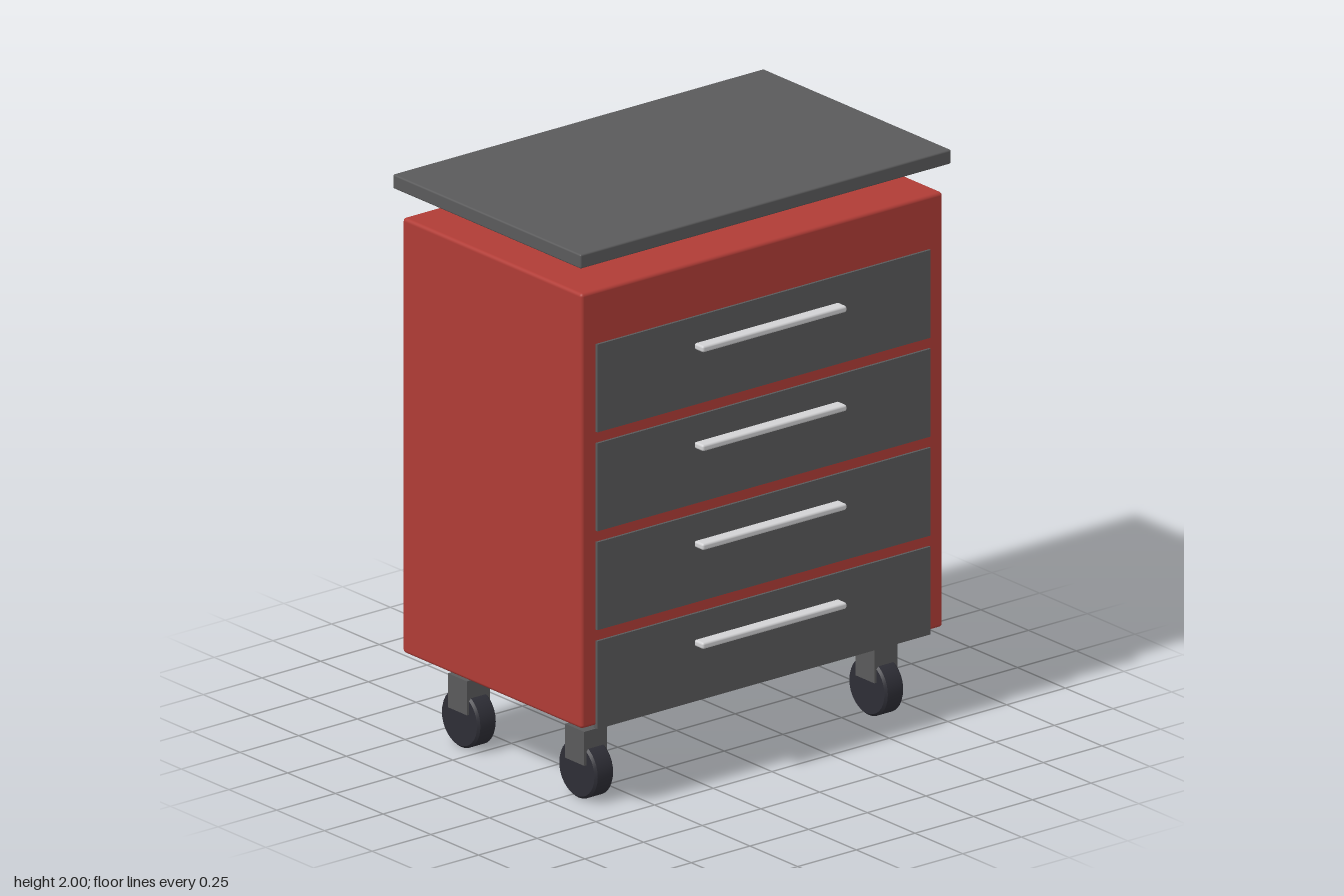
import * as THREE from 'three';
import { RoundedBoxGeometry } from 'three/addons/geometries/RoundedBoxGeometry.js';
import { toCreasedNormals } from 'three/addons/utils/BufferGeometryUtils.js';

function makeMaterial(name, color) {
  const material = new THREE.MeshStandardMaterial({ color });
  material.name = name;
  return material;
}

export function createModel() {
  const model = new THREE.Group();
  model.name = 'toolCabinet';
  const red = makeMaterial('red', 0xb03c36);
  const grey = makeMaterial('grey', 0x5a5a5b);
  const silver = makeMaterial('silver', 0xd2d2d4);
  const rubber = makeMaterial('rubber', 0x2e2e36);

  function add(parent, name, geometry, material, x, y, z) {
    const mesh = new THREE.Mesh(geometry, material);
    mesh.name = name;
    mesh.position.set(x, y, z);
    parent.add(mesh);
    return mesh;
  }

  // Cabinet body and the worktop floating above it
  add(model, 'body', new RoundedBoxGeometry(1.54, 1.535, 0.94, 3, 0.012), red, 0, 1.0825, -0.02);
  add(model, 'worktop', new RoundedBoxGeometry(1.58, 0.05, 0.985, 3, 0.006), grey, 0, 1.975, -0.0235);

  // Four drawers, each with a bar handle
  const panel = new THREE.BoxGeometry(1.42, 0.31, 0.02);
  const handle = new RoundedBoxGeometry(0.615, 0.023, 0.048, 3, 0.008);
  for (let i = 0; i < 4; i++) {
    const drawer = new THREE.Group();
    drawer.name = 'drawer' + (i + 1);
    drawer.position.y = 0.46 + i * 0.349;
    add(drawer, 'drawerFront', panel, grey, 0, 0, 0.449);
    add(drawer, 'handle', handle, silver, 0, 0.058, 0.493);
    model.add(drawer);
  }

  // Casters: a fork block around a wheel with softened rims
  const fork = new THREE.BoxGeometry(0.098, 0.12, 0.1);
  const profile = [[0, -0.04], [0.092, -0.04], [0.1, -0.032], [0.1, 0.032], [0.092, 0.04], [0, 0.04]]
    .map(([r, h]) => new THREE.Vector2(r, h));
  const wheel = toCreasedNormals(new THREE.LatheGeometry(profile, 32), 0.6);
  wheel.rotateZ(Math.PI / 2);
  for (const x of [-0.618, 0.618]) {
    for (const z of [0.287, -0.328]) {
      const caster = new THREE.Group();
      caster.name = (z > 0 ? 'front' : 'back') + (x > 0 ? 'Left' : 'Right') + 'Caster';
      caster.position.set(x, 0, z);
      add(caster, 'fork', fork, grey, 0, 0.19, 0);
      add(caster, 'wheel', wheel, rubber, 0, 0.1, 0);
      model.add(caster);
    }
  }
  return model;
}
